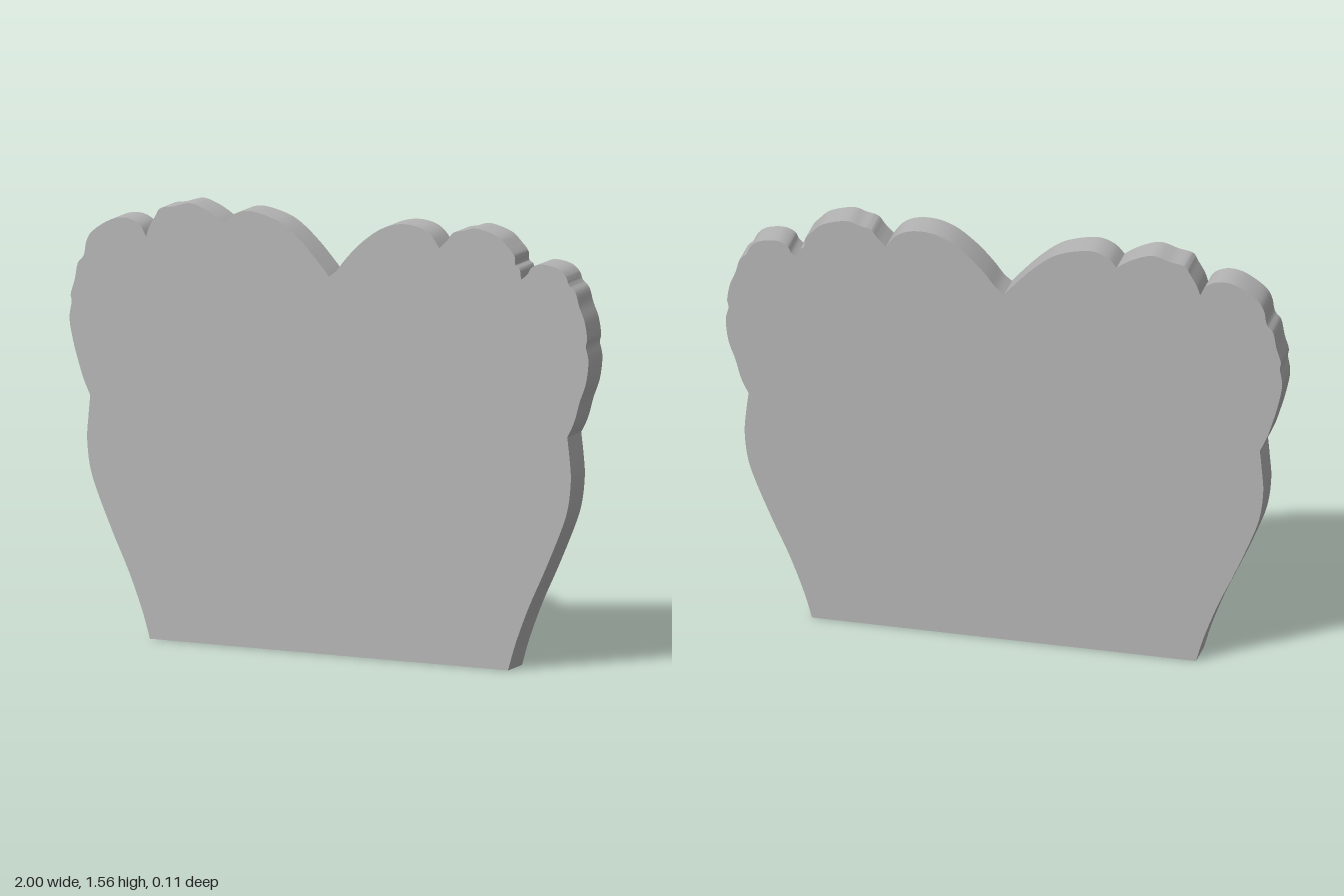
import * as THREE from 'three';
import { toCreasedNormals } from 'three/addons/utils/BufferGeometryUtils.js';

const DEPTH = 0.114;

// Tapering lower side, from the base corner up to the waist notch
const side = [[0.69, 0], [0.72, 0.1], [0.77, 0.23], [0.83, 0.36], [0.89, 0.5],
  [0.92, 0.59], [0.932, 0.69], [0.927, 0.77], [0.918, 0.845]];

// Each lobe is one smooth run that ends in a sharp notch
const rightLobes = [
  [[0.945, 0.9], [0.965, 0.97], [0.99, 1.04], [1, 1.12], [0.99, 1.17], [0.995, 1.2], [0.985, 1.26],
    [0.965, 1.31], [0.95, 1.36], [0.925, 1.385], [0.912, 1.415], [0.88, 1.44], [0.82, 1.45],
    [0.78, 1.435], [0.765, 1.41], [0.74, 1.39]],
  [[0.735, 1.425], [0.718, 1.44], [0.715, 1.47], [0.69, 1.5], [0.65, 1.535], [0.57, 1.557],
    [0.52, 1.545], [0.48, 1.535], [0.455, 1.505], [0.425, 1.475]],
  [[0.39, 1.52], [0.34, 1.545], [0.27, 1.548], [0.2, 1.525], [0.13, 1.475], [0.07, 1.415],
    [0.03, 1.365], [0, 1.34]],
];
const leftLobes = [
  [[-0.025, 1.37], [-0.09, 1.44], [-0.16, 1.5], [-0.22, 1.53], [-0.31, 1.548], [-0.37, 1.53], [-0.405, 1.495]],
  [[-0.44, 1.52], [-0.49, 1.545], [-0.54, 1.557], [-0.6, 1.54], [-0.65, 1.53], [-0.67, 1.5],
    [-0.693, 1.46], [-0.705, 1.425]],
  [[-0.73, 1.465], [-0.78, 1.485], [-0.84, 1.475], [-0.91, 1.43], [-0.935, 1.39], [-0.945, 1.34],
    [-0.968, 1.31], [-0.98, 1.25], [-0.995, 1.2], [-0.992, 1.17], [-1, 1.11], [-0.985, 1.03],
    [-0.965, 0.96], [-0.945, 0.9], [-0.92, 0.845]],
];

const toVectors = (points) => points.map(([x, y]) => new THREE.Vector2(x, y));

export function createModel() {
  const group = new THREE.Group();
  group.name = 'scallopedPanel';
  const grey = new THREE.MeshStandardMaterial({ color: 0xb4b4b4 });
  grey.name = 'plain grey';

  // Outline runs anticlockwise from the right base corner
  const mirroredSide = side.map(([x, y]) => [-x, y]).reverse();
  const outline = new THREE.Shape();
  outline.moveTo(...side[0]);
  for (const run of [side.slice(1), ...rightLobes, ...leftLobes, mirroredSide.slice(1)]) {
    outline.splineThru(toVectors(run));
  }
  outline.closePath();

  // Flat slab with smooth lobes and crisp edges
  const slab = new THREE.ExtrudeGeometry(outline, { depth: DEPTH, bevelEnabled: false, curveSegments: 4 });
  slab.translate(0, 0, -DEPTH / 2);
  const panel = new THREE.Mesh(toCreasedNormals(slab, 0.6), grey);
  panel.name = 'panel';
  group.add(panel);
  return group;
}
